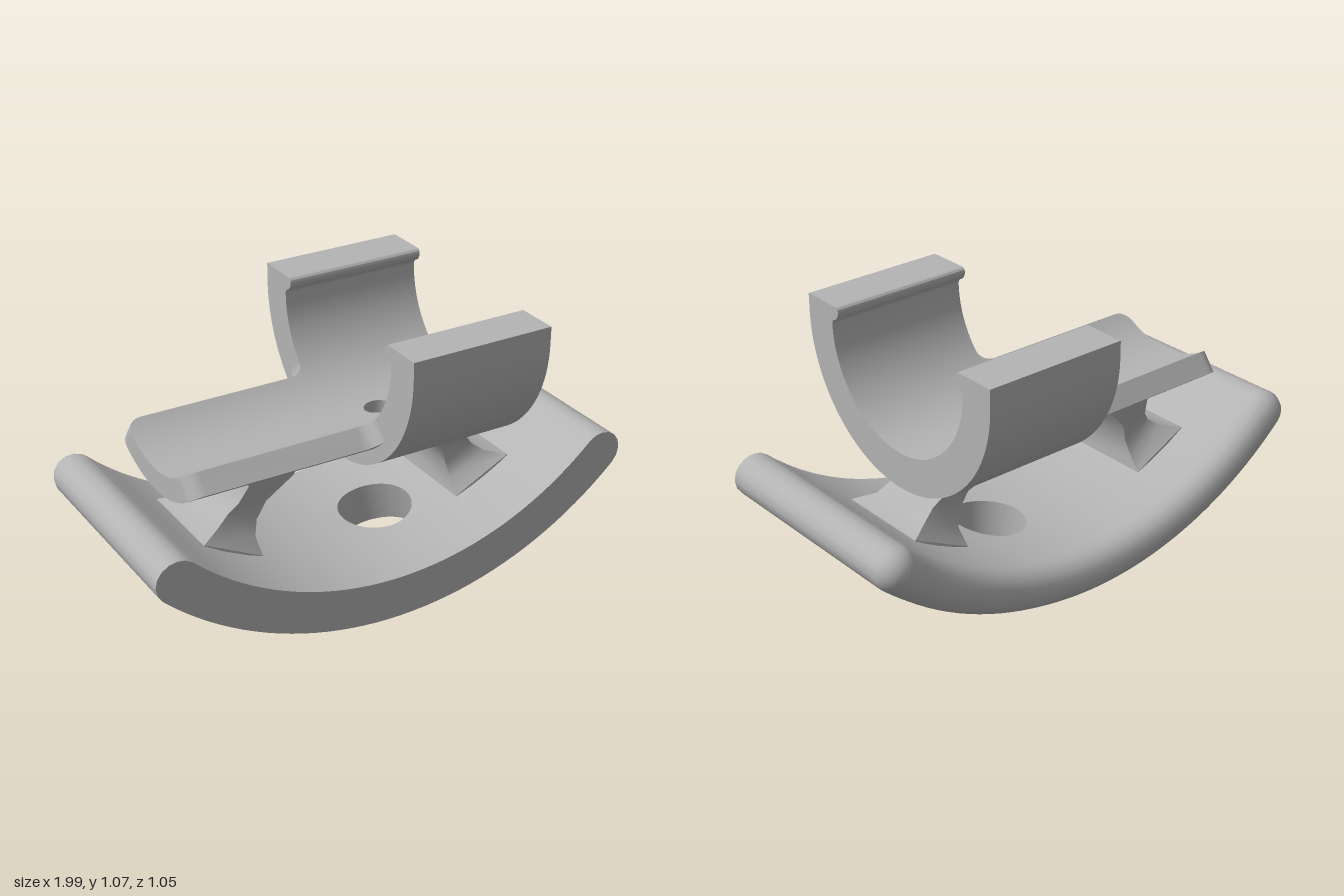
import * as THREE from 'three';
import { toCreasedNormals } from 'three/addons/utils/BufferGeometryUtils.js';

const V = (x, y, z) => new THREE.Vector3(x, y, z);

// Solid surface through closed rings of points; closed = last ring joins the first
function skin(rings, closed, crease = 0.6) {
  const pos = [], n = rings[0].length, m = rings.length;
  let volume = 0;
  const tri = (a, b, c) => {
    const cross = b.clone().sub(a).cross(c.clone().sub(a));
    if (cross.length() < 1e-9) return;
    volume += a.dot(b.clone().cross(c));
    pos.push([a, b, c]);
  };
  for (let i = 0; i < (closed ? m : m - 1); i++) {
    const A = rings[i], B = rings[(i + 1) % m];
    for (let j = 0; j < n; j++) {
      const k = (j + 1) % n;
      tri(A[j], B[j], B[k]);
      tri(A[j], B[k], A[k]);
    }
  }
  const flat = pos.flatMap(([a, b, c]) => (volume < 0 ? [a, c, b] : [a, b, c]));
  return toCreasedNormals(new THREE.BufferGeometry().setFromPoints(flat), crease);
}

// Points around a rectangle; each side carries an outward rounding direction or none
function perimeter(u0, u1, v0, v1, nu, nv, rounded) {
  const pts = [];
  const side = (a, b, n, d) => {
    for (let i = 0; i <= n; i++) {
      const f = i / n;
      pts.push({ u: a[0] + (b[0] - a[0]) * f, v: a[1] + (b[1] - a[1]) * f, du: d[0], dv: d[1] });
    }
  };
  const corner = (u, v, from) => {
    for (let i = 1; i < 6; i++) {
      const a = from - (i / 6) * Math.PI / 2;
      pts.push({ u, v, du: Math.cos(a), dv: Math.sin(a) });
    }
  };
  const k = rounded ? 1 : 0;
  side([u0, v1], [u1, v1], nu, [0, 0]);
  side([u1, v1], [u1, v0], nv, [k, 0]);
  if (rounded) corner(u1, v0, 0);
  side([u1, v0], [u0, v0], nu, [0, -k]);
  if (rounded) corner(u0, v0, -Math.PI / 2);
  side([u0, v0], [u0, v1], nv, [-k, 0]);
  return pts;
}

// Bent plate of half thickness h with a round hole; map(u, v, t) bends it
function piercedPlate(pts, hole, h, map) {
  const steps = 9, edge = 8;
  return skin(pts.map((p) => {
    const a = Math.atan2(p.v - hole.v, p.u - hole.u);
    const hu = hole.u + hole.r * Math.cos(a), hv = hole.v + hole.r * Math.sin(a);
    const at = (f, t) => map(p.u + (hu - p.u) * f, p.v + (hv - p.v) * f, t);
    const ring = [];
    for (let i = 0; i <= edge; i++) {
      const phi = Math.PI * (0.5 - i / edge), c = h * Math.cos(phi);
      ring.push(map(p.u + p.du * c, p.v + p.dv * c, h * Math.sin(phi)));
    }
    for (let i = 1; i <= steps; i++) ring.push(at(i / steps, -h));
    for (let i = steps; i >= 1; i--) ring.push(at(i / steps, h));
    return ring;
  }), true);
}

export function createModel() {
  const group = new THREE.Group();
  const grey = new THREE.MeshStandardMaterial({ color: 0xb4b4b4 });
  grey.name = 'grey';
  const add = (name, geometry) => {
    const mesh = new THREE.Mesh(geometry, grey);
    mesh.name = name;
    group.add(mesh);
    return mesh;
  };

  // Rocker base: flat front, rounded back and ends, access hole
  const R = 1.33, S = R * 0.753, h = 0.085;
  add('rockerBase', piercedPlate(
    perimeter(-S, S, -0.39, 0.475, 40, 18, true),
    { u: 0.19, v: 0, r: 0.155 }, h,
    (u, v, t) => V((R - t) * Math.sin(u / R), R + h - (R - t) * Math.cos(u / R), v)));

  // Cradle floor with a small screw hole
  const width = 0.59, split = 0.3, mid = 0.4525, half = 0.0725;
  add('cradleFloor', piercedPlate(
    perimeter(0, width, -split * mid, split * mid, 14, 8, false),
    { u: 0.19, v: 0, r: 0.06 }, half,
    (u, v, t) => V(u, 1 - (mid - t) * Math.cos(v / mid), (mid - t) * Math.sin(v / mid))));

  // Cradle arms with inward lips
  const arm = new THREE.Shape();
  arm.absarc(0, 1, 0.525, -Math.PI / 2 + split, 0, false);
  arm.lineTo(0.525, 1.07);
  arm.lineTo(0.36, 1.07);
  arm.quadraticCurveTo(0.34, 1.07, 0.34, 1.05);
  arm.quadraticCurveTo(0.345, 1.02, 0.37, 1.015);
  arm.lineTo(0.38, 1);
  arm.absarc(0, 1, 0.38, 0, -Math.PI / 2 + split, true);
  for (const side of [1, -1]) {
    const g = new THREE.ExtrudeGeometry(arm, { depth: width, bevelEnabled: false, curveSegments: 24 });
    g.rotateY(side * Math.PI / 2);
    if (side < 0) g.translate(width, 0, 0);
    add(side < 0 ? 'frontCradleArm' : 'backCradleArm', toCreasedNormals(g, 0.6));
  }

  // Shallow tray: rounded corners at the free end, flared where it meets the cradle
  const traySection = (x, spread, rIn, rOut) => {
    const ring = [], n = 20;
    const point = (r, f) => {
      const a = spread * (2 * f - 1);
      ring.push(V(x, 1 - r * Math.cos(a), r * Math.sin(a)));
    };
    for (let i = 0; i <= n; i++) point(rIn, i / n);
    for (let i = n; i >= 0; i--) point(rOut, i / n);
    return ring;
  };
  const tray = [], c = 0.06, spread = 0.688;
  tray.push(traySection(-0.76, spread - c / 0.43, 0.425, 0.425));
  for (let i = 0; i <= 6; i++) {
    const a = (i / 6) * Math.PI / 2;
    tray.push(traySection(-0.76 + c * (1 - Math.cos(a)), spread - (c / 0.43) * (1 - Math.sin(a)), 0.38, 0.47));
  }
  for (let i = 0; i <= 6; i++) {
    const a = (i / 6) * Math.PI / 2;
    tray.push(traySection(-c + c * Math.sin(a), spread + (c / 0.43) * (1 - Math.cos(a)), 0.38, 0.47));
  }
  tray.push(traySection(0, spread + c / 0.43, 0.425, 0.425));
  add('tray', skin(tray, false));

  // Waisted legs: inner x, y, outer x, y, half depth
  const foot = [
    [0.39, 0.45, 0.505, 0.47, 0.15],
    [0.42, 0.37, 0.54, 0.425, 0.13],
    [0.435, 0.31, 0.59, 0.388, 0.145],
    [0.432, 0.25, 0.67, 0.37, 0.195],
    [0.43, 0.2, 0.69, 0.3, 0.195],
  ];
  const leg = (name, side, top) => {
    const rows = [...top, ...foot];
    const rings = rows.map(([x1, y1, x2, y2, z]) => [
      V(side * x1, y1, z), V(side * x2, y2, z), V(side * x2, y2, -z), V(side * x1, y1, -z)]);
    const cap = (ring) => {
      const centre = ring.reduce((s, p) => s.add(p), V(0, 0, 0)).divideScalar(4);
      return ring.map(() => centre);
    };
    add(name, skin([cap(rings[0]), ...rings, cap(rings[rings.length - 1])], false));
  };
  leg('leftLeg', 1, [[0.32, 0.55, 0.545, 0.55, 0.19], [0.33, 0.505, 0.53, 0.505, 0.185]]);
  leg('rightLeg', -1, [[0.28, 0.6, 0.48, 0.6, 0.2], [0.29, 0.55, 0.48, 0.55, 0.185]]);

  return group;
}
